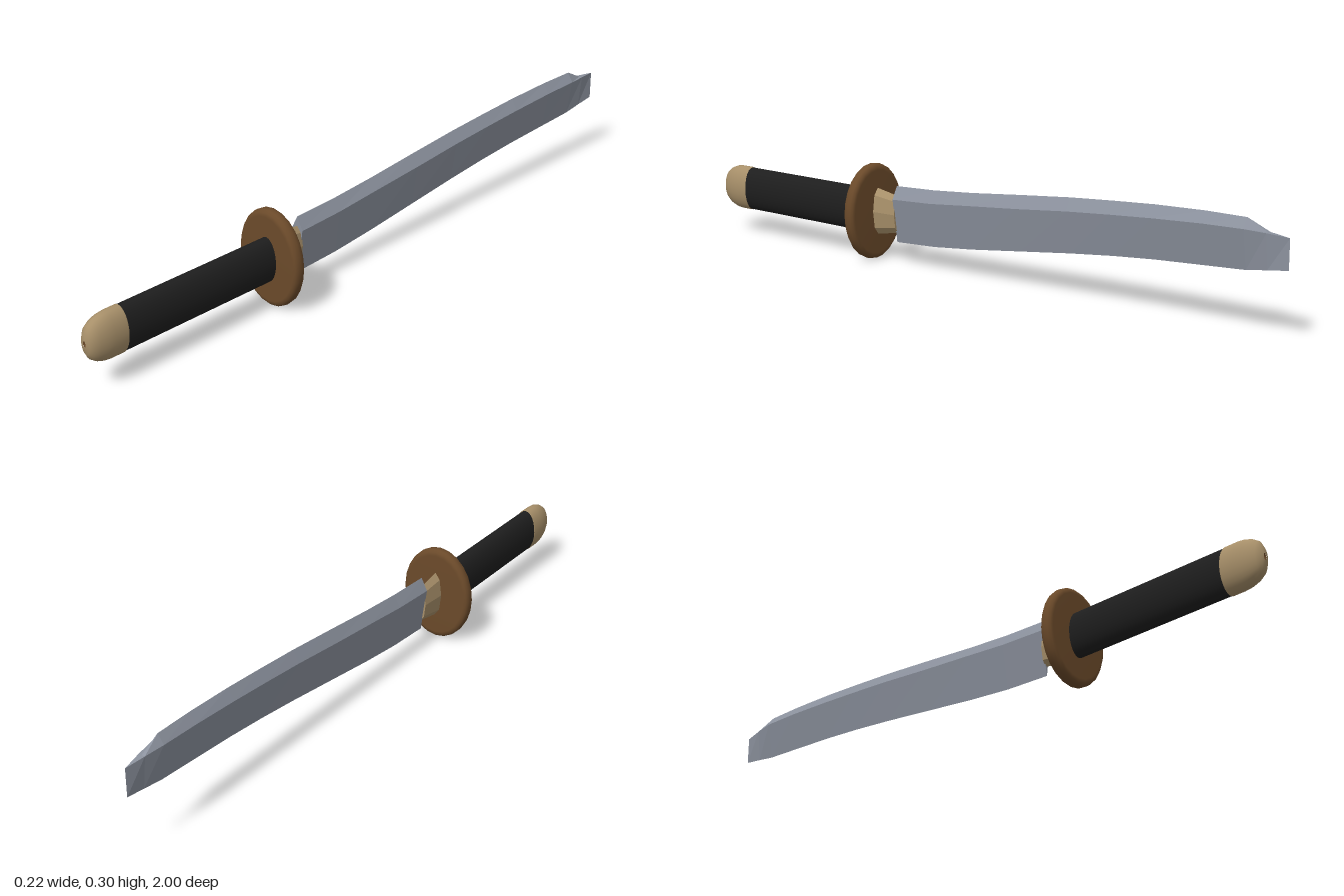
import * as THREE from 'three';

const CENTER_Y = 0.142;

const mat = (name, color, extra = {}) => {
  const m = new THREE.MeshStandardMaterial({ color, ...extra });
  m.name = name;
  return m;
};

// Oval body turned around the z axis; profile is [radius, z] with z rising, yScale stretches it upright
function oval(name, profile, yScale, segments, material) {
  const points = profile.map(([r, z]) => new THREE.Vector2(r, z));
  const geo = new THREE.LatheGeometry(points, segments);
  geo.rotateX(Math.PI / 2);
  geo.scale(1, yScale, 1);
  const mesh = new THREE.Mesh(geo, material);
  mesh.name = name;
  mesh.position.y = CENTER_Y;
  return mesh;
}

// Kite-shaped cross-sections joined along the length
function bladeGeometry() {
  // z, cutting edge y, ridge y, spine y, half width
  const rows = [
    [0.283, 0.062, 0.190, 0.227, 0.019],
    [0.14, 0.069, 0.197, 0.233, 0.019],
    [0.0, 0.083, 0.210, 0.244, 0.019],
    [-0.17, 0.104, 0.225, 0.261, 0.019],
    [-0.34, 0.125, 0.242, 0.277, 0.019],
    [-0.48, 0.140, 0.253, 0.287, 0.019],
    [-0.61, 0.151, 0.262, 0.295, 0.019],
    [-0.76, 0.160, 0.270, 0.300, 0.019],
    [-0.88, 0.167, 0.273, 0.300, 0.018],
    [-0.94, 0.176, 0.270, 0.270, 0.010],
    [-1.0, 0.184, 0.265, 0.265, 0.0],
  ];
  const rings = rows.map(([z, edge, ridge, spine, w]) => [
    [0, edge, z], [w, ridge, z], [0, spine, z], [-w, ridge, z],
  ]);
  const pos = [];
  const tri = (...corners) => corners.forEach((c) => pos.push(...c));
  for (let i = 0; i < rings.length - 1; i++) {
    for (let j = 0; j < 4; j++) {
      const k = (j + 1) % 4;
      const a = rings[i], b = rings[i + 1];
      tri(a[j], b[j], b[k]);
      tri(a[j], b[k], a[k]);
    }
  }
  // Flat heel of the blade
  const [e, r, s, l] = rings[0];
  tri(e, r, s);
  tri(e, s, l);
  const geo = new THREE.BufferGeometry();
  geo.setAttribute('position', new THREE.Float32BufferAttribute(pos, 3));
  geo.computeVertexNormals();
  return geo;
}

export function createModel() {
  const group = new THREE.Group();
  group.name = 'sword';

  const steel = mat('steel', 0x8c929e, { side: THREE.DoubleSide });
  const brown = mat('brown', 0x6b4a2a);
  const tan = mat('tan', 0xa8906a);
  const black = mat('black', 0x1e1e1e);

  const blade = new THREE.Mesh(bladeGeometry(), steel);
  blade.name = 'blade';
  group.add(blade);

  // Faceted collar between guard and blade
  const collarGeo = new THREE.CylinderGeometry(0.022, 0.017, 0.09, 8).toNonIndexed();
  collarGeo.rotateX(Math.PI / 2);
  collarGeo.scale(1, 3.2, 1);
  collarGeo.computeVertexNormals();
  const collar = new THREE.Mesh(collarGeo, tan);
  collar.name = 'collar';
  collar.position.set(0, 0.144, 0.325);
  group.add(collar);

  // Oval guard with a rounded rim
  group.add(oval('guard', [
    [0, 0.358], [0.096, 0.358], [0.104, 0.361], [0.109, 0.367], [0.11, 0.376],
    [0.109, 0.386], [0.104, 0.393], [0.096, 0.396], [0, 0.396],
  ], 1.282, 24, brown));

  group.add(oval('grip', [[0.0345, 0.38], [0.0345, 0.89]], 1.9, 24, black));

  // Rounded end cap of the handle
  group.add(oval('pommel', [
    [0.0345, 0.888], [0.0362, 0.892], [0.0362, 0.93], [0.035, 0.95], [0.031, 0.972],
    [0.025, 0.988], [0.016, 0.997], [0.005, 1.0],
  ], 1.86, 24, tan));

  // Small dark pit in the pommel end
  group.add(oval('pommelPit', [[0.005, 0.9995], [0, 0.997]], 1.86, 16, brown));

  return group;
}
